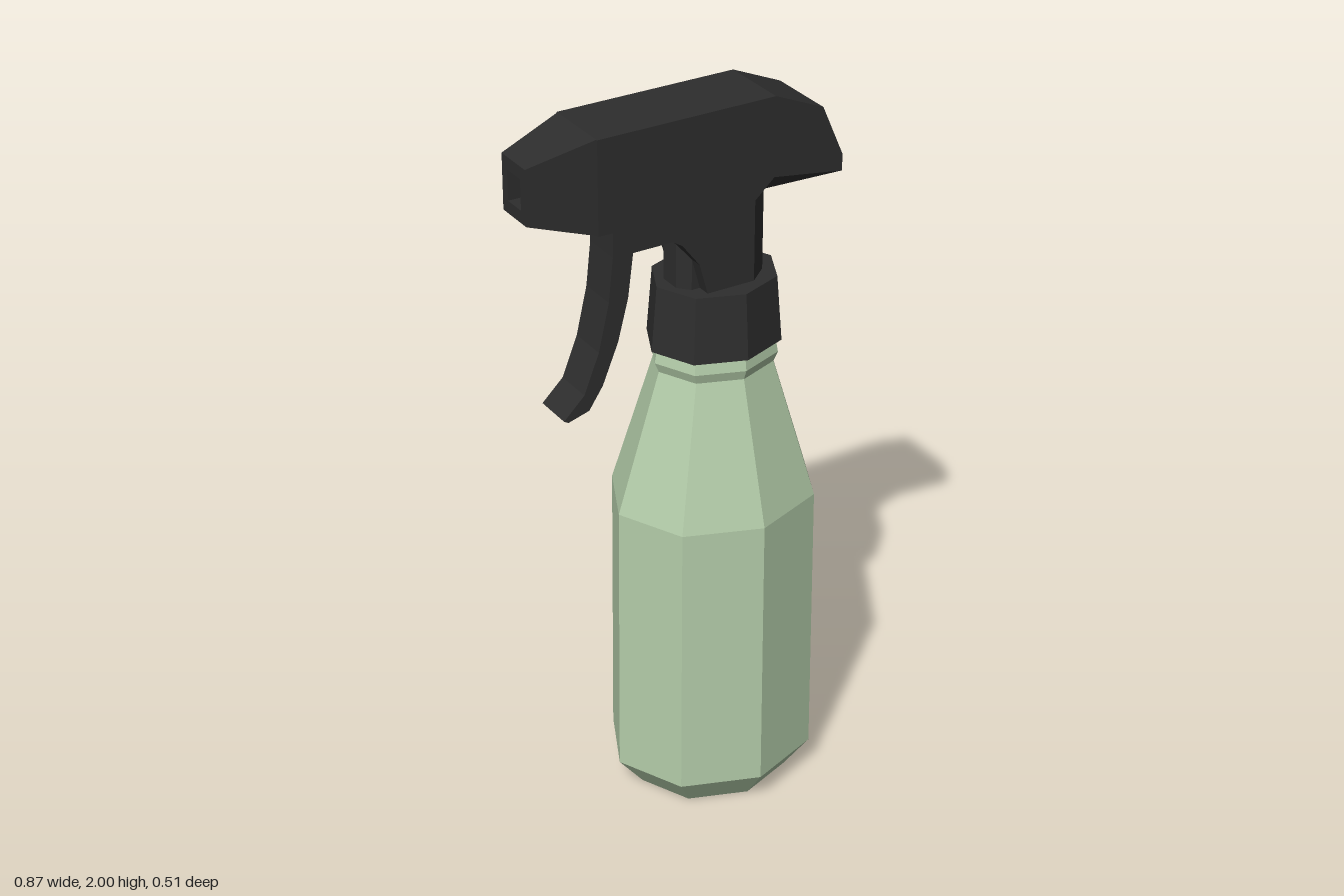
import * as THREE from 'three';
import { ConvexGeometry } from 'three/addons/geometries/ConvexGeometry.js';

const green = new THREE.MeshStandardMaterial({ color: 0xb4cdaa, flatShading: true });
const black = new THREE.MeshStandardMaterial({ color: 0x2e2e2e, flatShading: true });
const AXIS_X = 0.124; // bottle axis

function add(group, name, geometry, material) {
  const mesh = new THREE.Mesh(geometry, material);
  mesh.name = name;
  group.add(mesh);
  return mesh;
}

// Eight-sided turned part, slightly flattened front to back
function turned(profile) {
  const geo = new THREE.LatheGeometry(profile.map(([r, y]) => new THREE.Vector2(r, y)), 8);
  return geo.scale(1, 1, 0.88).translate(AXIS_X, 0, 0);
}

// Side outline (x, y) given thickness across z
function slab(outline, half) {
  const shape = new THREE.Shape(outline.map(([x, y]) => new THREE.Vector2(x, y)));
  return new THREE.ExtrudeGeometry(shape, { depth: half * 2, bevelEnabled: false }).translate(0, 0, -half);
}

// Convex solid from (x, y, z) points mirrored across z
function mirroredHull(points) {
  return new ConvexGeometry(points.flatMap(([x, y, z]) => [new THREE.Vector3(x, y, z), new THREE.Vector3(x, y, -z)]));
}

// Rectangular sections [x, yLow, yHigh, halfZ] joined towards -x, last one capped
function rectLoft(sections) {
  const pos = [];
  const rings = sections.map(([x, lo, hi, z]) => [[x, lo, -z], [x, lo, z], [x, hi, z], [x, hi, -z]]);
  const quad = (a, b, c, d) => pos.push(...a, ...b, ...c, ...a, ...c, ...d);
  for (let s = 0; s < rings.length - 1; s++) {
    for (let i = 0; i < 4; i++) {
      const j = (i + 1) % 4;
      quad(rings[s][i], rings[s][j], rings[s + 1][j], rings[s + 1][i]);
    }
  }
  quad(...rings[rings.length - 1]);
  const geo = new THREE.BufferGeometry();
  geo.setAttribute('position', new THREE.Float32BufferAttribute(pos, 3));
  geo.computeVertexNormals();
  return geo;
}

export function createModel() {
  const model = new THREE.Group();
  model.name = 'sprayBottle';

  // Bottle and screw collar
  add(model, 'bottle', turned([
    [0, 0], [0.22, 0], [0.292, 0.09], [0.286, 0.885], [0.164, 1.272], [0.176, 1.3], [0.168, 1.345],
  ]), green);
  add(model, 'collar', turned([[0, 1.335], [0.185, 1.335], [0.17, 1.515], [0, 1.515]]), black);

  // Sprayer head with the sides of the column
  const head = new THREE.Group();
  head.name = 'sprayHead';
  model.add(head);
  add(head, 'headBody', slab([
    [-0.265, 2], [-0.265, 1.75], [-0.19, 1.748], [-0.11, 1.715], [-0.03, 1.665], [0.02, 1.6], [0.045, 1.51],
    [0.18, 1.51], [0.18, 1.735], [0.235, 1.785], [0.437, 1.755], [0.437, 1.8], [0.375, 1.94], [0.235, 2],
  ], 0.097), black);

  // Chamfered back of the column, and its flare into the underside of the head
  add(head, 'columnBack', mirroredHull([
    [0.18, 1.51, 0.097], [0.235, 1.51, 0.05], [0.18, 1.735, 0.097], [0.235, 1.735, 0.05],
  ]), black);
  add(head, 'columnFlare', mirroredHull([
    [0.18, 1.735, 0.097], [0.235, 1.735, 0.05], [0.235, 1.785, 0.097], [0.18, 1.78, 0.05],
  ]), black);
  add(head, 'headUnderside', mirroredHull([
    [0.235, 1.735, 0.05], [0.235, 1.785, 0.097], [0.437, 1.755, 0.097],
  ]), black);

  // Faceted pump tube at the front of the column
  add(head, 'pumpTube', mirroredHull([1.51, 1.69].flatMap((y) => [
    [-0.007, y, 0.03], [0.02, y, 0.06], [0.08, y, 0.06],
  ])), black);

  // Tapered nozzle with a recessed outlet
  add(head, 'nozzle', rectLoft([
    [-0.265, 1.75, 2, 0.093], [-0.437, 1.802, 1.95, 0.057],
    [-0.437, 1.835, 1.917, 0.032], [-0.39, 1.835, 1.917, 0.032],
  ]), black);

  // Curved trigger with its link to the pump
  add(head, 'trigger', slab([
    [-0.2, 1.77], [-0.202, 1.66], [-0.215, 1.54], [-0.245, 1.41], [-0.288, 1.302], [-0.347, 1.245],
    [-0.335, 1.238], [-0.275, 1.255], [-0.235, 1.315], [-0.19, 1.425], [-0.16, 1.54], [-0.145, 1.658],
    [0.0, 1.658], [0.0, 1.77],
  ], 0.055), black);

  return model;
}
